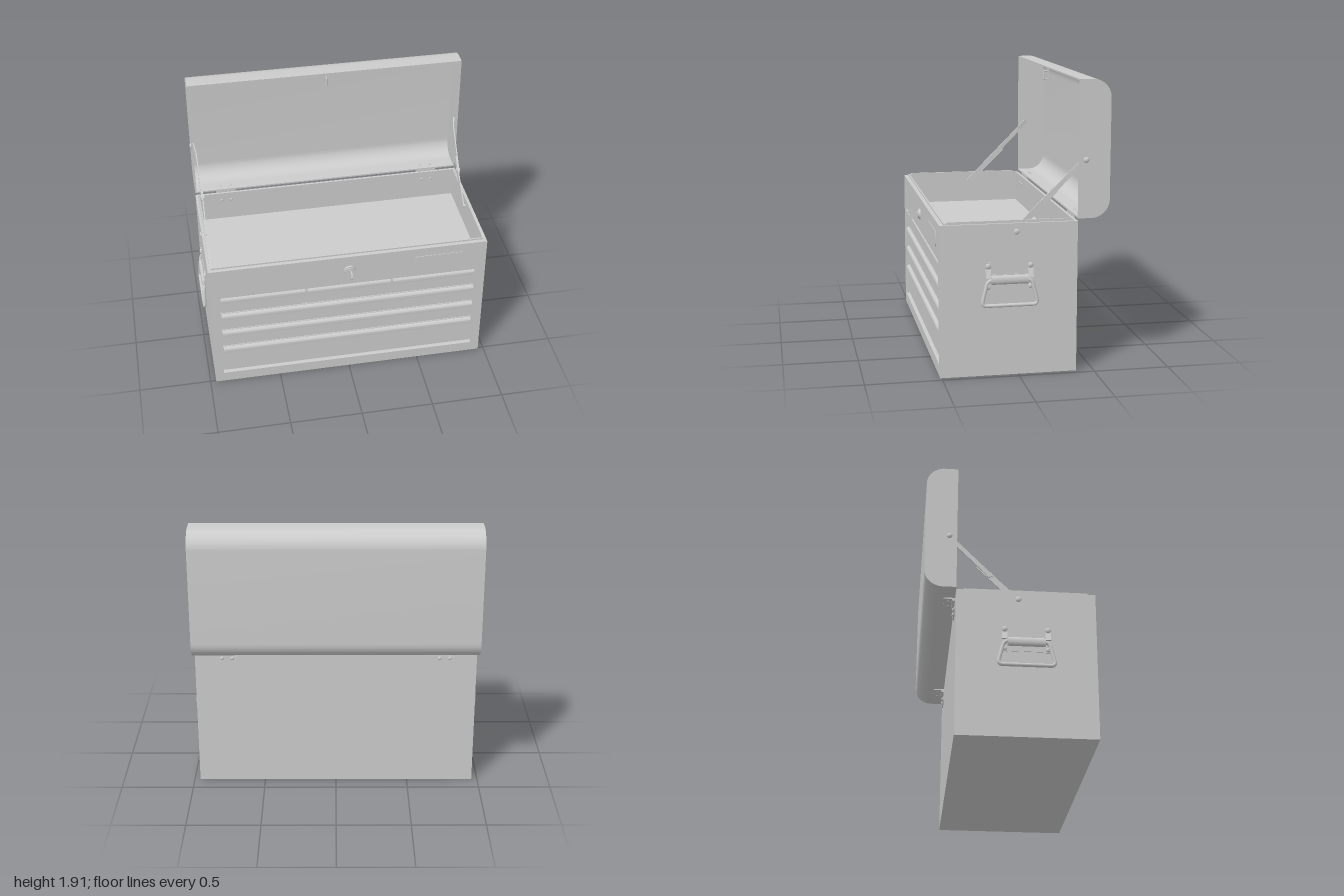
import * as THREE from 'three';
import { toCreasedNormals } from 'three/addons/utils/BufferGeometryUtils.js';

const mat = new THREE.MeshStandardMaterial({ color: 0xcccccc, side: THREE.DoubleSide });

export function createModel() {
  const model = new THREE.Group();
  model.name = 'toolChest';

  const add = (name, geo) => {
    const m = new THREE.Mesh(geo, mat);
    m.name = name;
    model.add(m);
    return m;
  };
  // box given by its limits
  const box = (name, x0, x1, y0, y1, z0, z1) => {
    const g = new THREE.BoxGeometry(Math.abs(x1 - x0), y1 - y0, z1 - z0);
    return add(name, g.translate((x0 + x1) / 2, (y0 + y1) / 2, (z0 + z1) / 2));
  };
  const cyl = (name, axis, r, len, x, y, z, rTop = r) => {
    const g = new THREE.CylinderGeometry(rTop, r, len, 24);
    if (axis === 'x') g.rotateZ(-Math.PI / 2);
    if (axis === 'z') g.rotateX(Math.PI / 2);
    return add(name, g.translate(x, y, z));
  };
  const dome = (name, x, y, z, r, sx, sy, sz) =>
    add(name, new THREE.SphereGeometry(r, 16, 10).scale(sx, sy, sz).translate(x, y, z));
  const extrude = (shape, depth) =>
    new THREE.ExtrudeGeometry(shape, { depth, bevelEnabled: false, curveSegments: 12 });
  // profile of (-z, y) extruded along x
  const extrudeX = (name, shape, x0, x1) =>
    add(name, toCreasedNormals(extrude(shape, x1 - x0).rotateY(Math.PI / 2).translate(x0, 0, 0), 0.6));
  const extrudeZ = (name, shape, z0, z1) =>
    add(name, toCreasedNormals(extrude(shape, z1 - z0).translate(0, 0, z0), 0.6));
  const rect = (S, x0, x1, y0, y1) =>
    new S().moveTo(x0, y0).lineTo(x1, y0).lineTo(x1, y1).lineTo(x0, y1).closePath();
  // path with rounded corners
  const roundedPath = (pts, r) => {
    const path = new THREE.CurvePath();
    let from = pts[0];
    for (let i = 1; i < pts.length - 1; i++) {
      const p = pts[i];
      const a = p.clone().add(pts[i - 1].clone().sub(p).setLength(r));
      const b = p.clone().add(pts[i + 1].clone().sub(p).setLength(r));
      path.add(new THREE.LineCurve3(from, a));
      path.add(new THREE.QuadraticBezierCurve3(a, p, b));
      from = b;
    }
    path.add(new THREE.LineCurve3(from, pts[pts.length - 1]));
    return path;
  };

  // cabinet body
  const W = 0.96, F = 0.51, B = -0.387;
  box('bottomPanel', -W, W, 0, 0.02, B, F);
  box('backPanel', -W, W, 0, 1, B, B + 0.022);
  for (const s of [-1, 1]) box('sidePanel', s * (W - 0.02), s * W, 0, 1, B, F);
  const face = rect(THREE.Shape, -W, W, 0, 1);
  face.holes.push(rect(THREE.Path, -0.9, 0.9, 0.075, 0.765));
  extrudeZ('frontFrame', face, F - 0.035, F);
  box('trayFloor', -0.94, 0.94, 0.77, 0.785, B + 0.02, F - 0.03);

  // raised lip around the opening
  const lip = new THREE.Shape();
  lip.moveTo(-0.48, 0.99).lineTo(0.36, 0.99).lineTo(0.36, 1).lineTo(0.335, 1.017);
  lip.lineTo(-0.455, 1.017).lineTo(-0.48, 1).closePath();
  for (const s of [-1, 1]) extrudeX('sideLip', lip, s * 0.938 - 0.006, s * 0.938 + 0.006);
  box('frontLip', -0.94, 0.94, 0.99, 1.01, 0.472, 0.482);
  box('backLip', -0.94, 0.94, 0.99, 1.01, -0.367, -0.357);

  // drawers, each with a rolled pull along its top edge
  const drawer = (x0, x1, y0, y1) => {
    box('drawerFront', x0, x1, y0, y1, 0.46, 0.487);
    const p = new THREE.Shape(), t = y1 - 0.004;
    p.moveTo(-0.48, t).lineTo(-0.492, t);
    p.quadraticCurveTo(-0.508, t - 0.004, -0.508, t - 0.022);
    p.lineTo(-0.506, t - 0.042).lineTo(-0.5, t - 0.042).lineTo(-0.5, t - 0.022);
    p.quadraticCurveTo(-0.498, t - 0.01, -0.48, t - 0.008).closePath();
    extrudeX('drawerPull', p, x0 + 0.002, x1 - 0.002);
  };
  for (const i of [-1, 0, 1]) drawer(i * 0.597 - 0.294, i * 0.597 + 0.294, 0.615, 0.758);
  for (const [y0, y1] of [[0.464, 0.609], [0.314, 0.458], [0.082, 0.308]]) drawer(-0.892, 0.892, y0, y1);
  box('drawerBacking', -0.91, 0.91, 0.06, 0.775, 0.455, 0.465);

  // name plate with rounded corners
  const plate = new THREE.Shape();
  plate.absarc(0.78, 0.855, 0.025, -Math.PI / 2, 0);
  plate.absarc(0.78, 0.91, 0.025, 0, Math.PI / 2);
  plate.absarc(0.48, 0.91, 0.025, Math.PI / 2, Math.PI);
  plate.absarc(0.48, 0.855, 0.025, Math.PI, Math.PI * 1.5);
  plate.closePath();
  extrudeZ('namePlate', plate, F, F + 0.004);

  // lock, key and inner cam
  cyl('lockCollar', 'z', 0.04, 0.012, 0, 0.885, 0.514, 0.036);
  cyl('lockFace', 'z', 0.027, 0.01, 0, 0.885, 0.523);
  box('keyShaft', -0.004, 0.004, 0.872, 0.898, 0.52, 0.55);
  const bow = new THREE.Shape().absarc(-0.57, 0.885, 0.031, 0, Math.PI * 2);
  bow.holes.push(new THREE.Path().absarc(-0.588, 0.885, 0.006, 0, Math.PI * 2));
  extrudeX('keyBow', bow, -0.004, 0.004);
  cyl('lockBarrel', 'z', 0.026, 0.05, 0, 0.885, 0.458);
  box('lockCam', -0.015, 0.12, 0.872, 0.898, 0.437, 0.443);

  // open lid: curved shell and end plates
  const r = 0.12, back = 0.595, front = 0.387, top = 1.907, low = 1.015;
  const outline = (d) => {
    const s = new THREE.Shape();
    s.moveTo(front, low + d).lineTo(back - r, low + d);
    s.absarc(back - r, low + r, r - d, -Math.PI / 2, 0);
    s.absarc(back - r, top - r, r - d, 0, Math.PI / 2);
    return s.lineTo(front, top - d);
  };
  const shell = outline(0);
  for (const p of outline(0.01).getPoints(12).reverse()) shell.lineTo(p.x, p.y);
  extrudeX('lidShell', shell.closePath(), -W, W);
  const end = outline(0).closePath();
  for (const s of [-1, 1]) extrudeX('lidEnd', end, s * (W - 0.005) - 0.005, s * (W - 0.005) + 0.005);

  // latch loop on the lid's front edge
  const loop = roundedPath([[1.875, -0.40], [1.875, -0.374], [1.815, -0.374], [1.815, -0.40]]
    .map(([y, z]) => new THREE.Vector3(0, y, z)), 0.008);
  add('latchLoop', new THREE.TubeGeometry(loop, 40, 0.005, 8));
  box('latchTab', -0.004, 0.004, 1.81, 1.9, -0.41, -0.397);

  for (const s of [-1, 1]) {
    // folding lid stay
    const bar = (name, x0, y0, z0, x1, y1, z1, w) => {
      const a = new THREE.Vector3(s * x0, y0, z0), b = new THREE.Vector3(s * x1, y1, z1);
      const m = add(name, new THREE.BoxGeometry(0.008, w, a.distanceTo(b)));
      m.position.copy(a).add(b).multiplyScalar(0.5);
      m.lookAt(b);
    };
    bar('stayLower', 0.925, 0.945, 0.01, 0.918, 1.2, -0.245, 0.04);
    bar('stayUpper', 0.926, 1.115, -0.155, 0.932, 1.35, -0.39, 0.03);
    bar('stayEnd', 0.932, 1.345, -0.385, 0.946, 1.405, -0.445, 0.03);
    cyl('stayPivot', 'x', 0.018, 0.026, s * 0.922, 1.13, -0.173);
    cyl('stayLowerPin', 'x', 0.012, 0.04, s * 0.94, 0.945, 0.012);
    dome('sideRivet', s * W, 0.945, 0.012, 0.019, 0.5, 1, 1);
    dome('lidRivet', s * W, 1.393, -0.437, 0.019, 0.6, 1, 1);

    // carrying handle: brackets, barrel and bail
    const cz = 0.06;
    for (const t of [-1, 1]) {
      const z = cz + t * 0.138;
      box('handleBracket', s * 0.955, s * 0.966, 0.57, 0.75, z - 0.019, z + 0.019);
      const arm = new THREE.BoxGeometry(0.008, 0.06, 0.034).rotateZ(s * 0.35);
      add('bracketArm', arm.translate(s * 0.972, 0.678, z));
      dome('handleRivet', s * 0.967, 0.727, z, 0.018, 0.5, 1, 1);
      dome('handleRivet', s * 0.967, 0.59, z, 0.016, 0.5, 1, 1);
    }
    box('handlePlate', s * 0.955, s * 0.964, 0.575, 0.67, cz - 0.13, cz + 0.13);
    const barrel = new THREE.CylinderGeometry(0.03, 0.03, 0.24, 24).rotateX(Math.PI / 2);
    add('handleBarrel', barrel.scale(0.55, 1, 1).translate(s * 0.974, 0.637, cz));
    const bail = [[0.1, 0.637], [0.143, 0.637], [0.184, 0.472], [-0.184, 0.472], [-0.143, 0.637], [-0.1, 0.637]]
      .map(([z, y]) => new THREE.Vector3(s * (y > 0.6 ? 0.978 : 0.986), y, cz + z));
    add('handleBail', new THREE.TubeGeometry(roundedPath(bail, 0.035), 90, 0.012, 10));

    // hinge: rounded leaf on the back, leaf under the lid, knuckle and rivets
    const hx = s * 0.74;
    const leaf = new THREE.Shape();
    leaf.moveTo(hx - 0.07, 1.0);
    leaf.absarc(hx - 0.025, 0.95, 0.045, Math.PI, Math.PI * 1.5);
    leaf.absarc(hx + 0.025, 0.95, 0.045, Math.PI * 1.5, Math.PI * 2);
    leaf.lineTo(hx + 0.07, 1.0).closePath();
    extrudeZ('hingeBackLeaf', leaf, B - 0.008, B);
    box('hingeLidLeaf', hx - 0.07, hx + 0.07, 1.006, 1.015, -0.46, -0.385);
    cyl('hingeKnuckle', 'x', 0.011, 0.14, hx, 1.003, -0.396);
    for (const t of [-0.035, 0.035]) {
      dome('hingeRivet', hx + t, 0.945, B - 0.008, 0.013, 1, 1, 0.6);
      dome('hingeRivet', hx + t, 0.945, B + 0.023, 0.011, 1, 1, 0.5);
      dome('hingeRivet', hx + t, 1.026, -0.43, 0.011, 1, 0.7, 1);
      dome('hingeRivet', hx + t, 1.006, -0.43, 0.011, 1, 0.6, 1);
    }
  }
  return model;
}
